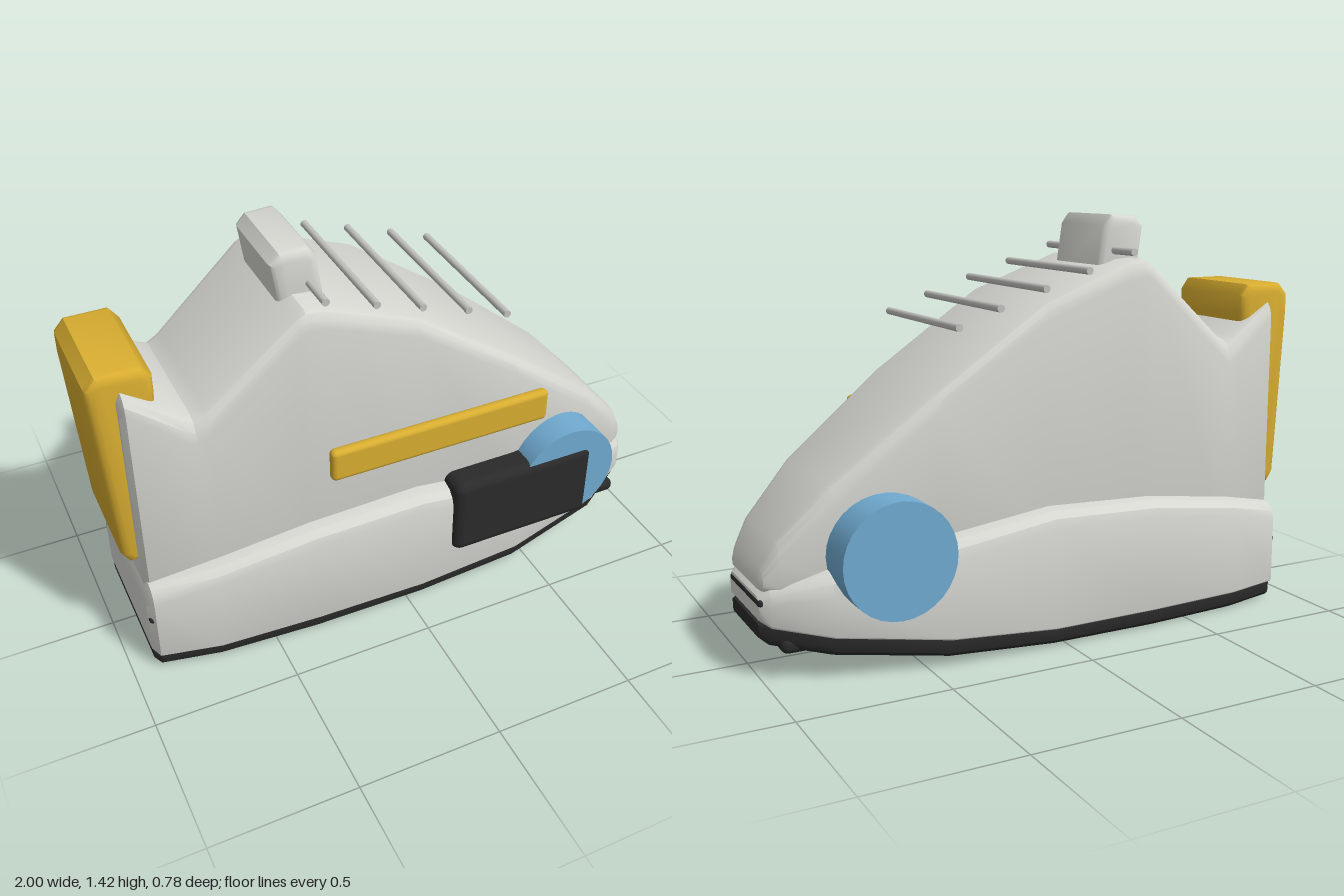
import * as THREE from 'three';
import { toCreasedNormals } from 'three/addons/utils/BufferGeometryUtils.js';
import { RoundedBoxGeometry } from 'three/addons/geometries/RoundedBoxGeometry.js';

const paint = (name, color) => {
  const m = new THREE.MeshStandardMaterial({ color });
  m.name = name;
  return m;
};

// Rounded cross-sections joined along x.
// Station: [x, bottom y, top y, half width, top bevel z, top bevel y, bottom bevel]
function loft(stations) {
  const pos = [], index = [], seg = 3, n = (seg + 1) * 4;
  for (const [x, yb, yt, w, bz, by, bb] of stations) {
    const corners = [
      [-1, 1, bz, by, 0], [1, 1, bz, by, 1], [1, -1, bb, bb, 2], [-1, -1, bb, bb, 3],
    ];
    for (const [sz, sy, rz, ry, q] of corners) {
      for (let i = 0; i <= seg; i++) {
        const a = (q + i / seg) * Math.PI / 2;
        const cz = sz * (w - rz), cy = sy > 0 ? yt - ry : yb + ry;
        pos.push(x, cy + Math.sin(a) * ry, cz - Math.cos(a) * rz);
      }
    }
  }
  const last = (stations.length - 1) * n;
  for (let s = 0; s < last; s += n) {
    for (let i = 0; i < n; i++) {
      const j = (i + 1) % n;
      index.push(s + i, s + j, s + n + j, s + i, s + n + j, s + n + i);
    }
  }
  for (let i = 1; i < n - 1; i++) {
    index.push(0, i + 1, i, last, last + i, last + i + 1);
  }
  const g = new THREE.BufferGeometry();
  g.setAttribute('position', new THREE.Float32BufferAttribute(pos, 3));
  g.setIndex(index);
  return toCreasedNormals(g, 0.5);
}

// Side outline extruded across z with rounded rims
function block(points, zMin, zMax, bevel) {
  const shape = new THREE.Shape(points.map(([x, y]) => new THREE.Vector2(x, y)));
  const g = new THREE.ExtrudeGeometry(shape, {
    depth: zMax - zMin - 2 * bevel, bevelEnabled: true, bevelThickness: bevel,
    bevelSize: bevel, bevelOffset: -bevel, bevelSegments: 3,
  });
  g.translate(0, 0, zMin + bevel);
  return toCreasedNormals(g, 0.7);
}

const rodZ = (r, length) => new THREE.CapsuleGeometry(r, length - 2 * r, 3, 10).rotateX(Math.PI / 2);

export function createModel() {
  const model = new THREE.Group();
  model.name = 'shoe';
  const shell = paint('pale grey', 0xd6d7d1);
  const metal = paint('lace grey', 0xc2c2be);
  const dark = paint('rubber black', 0x2a2a2a);
  const yellow = paint('mustard yellow', 0xd8ad30);
  const blue = paint('sky blue', 0x70aad0);
  const add = (name, geometry, material, x = 0, y = 0, z = 0) => {
    const m = new THREE.Mesh(geometry, material);
    m.name = name;
    m.position.set(x, y, z);
    model.add(m);
    return m;
  };

  // Outsole
  add('outsole', loft([
    [-0.92, 0.03, 0.07, 0.25, 0.01, 0.01, 0.015],
    [-0.9, 0.01, 0.08, 0.275, 0.01, 0.01, 0.03],
    [-0.7, 0.005, 0.08, 0.315, 0.01, 0.01, 0.035],
    [-0.35, 0.005, 0.08, 0.338, 0.01, 0.01, 0.035],
    [0.05, 0.01, 0.08, 0.347, 0.01, 0.01, 0.035],
    [0.43, 0.035, 0.115, 0.345, 0.01, 0.01, 0.035],
    [0.8, 0.085, 0.16, 0.28, 0.01, 0.01, 0.035],
    [0.97, 0.115, 0.19, 0.18, 0.01, 0.01, 0.03],
    [1.0, 0.14, 0.185, 0.15, 0.01, 0.01, 0.015],
  ]), dark);

  // Midsole
  add('midsole', loft([
    [-0.925, 0.08, 0.33, 0.25, 0.04, 0.04, 0.01],
    [-0.905, 0.068, 0.37, 0.285, 0.05, 0.06, 0.01],
    [-0.7, 0.068, 0.415, 0.33, 0.06, 0.06, 0.01],
    [-0.35, 0.068, 0.465, 0.35, 0.06, 0.06, 0.01],
    [0.05, 0.07, 0.48, 0.36, 0.06, 0.06, 0.01],
    [0.43, 0.1, 0.43, 0.36, 0.07, 0.07, 0.01],
    [0.8, 0.15, 0.365, 0.295, 0.08, 0.08, 0.01],
    [0.97, 0.18, 0.305, 0.2, 0.05, 0.05, 0.01],
    [1.0, 0.2, 0.275, 0.165, 0.03, 0.03, 0.01],
  ]), shell);

  // Upper with a collar notch and a tongue peak
  add('upper', loft([
    [-0.915, 0.3, 1.08, 0.21, 0.03, 0.05, 0.02],
    [-0.9, 0.3, 1.11, 0.235, 0.04, 0.06, 0.02],
    [-0.73, 0.32, 0.995, 0.262, 0.05, 0.08, 0.02],
    [-0.7, 0.32, 0.98, 0.266, 0.05, 0.08, 0.02],
    [-0.66, 0.32, 1.0, 0.27, 0.05, 0.07, 0.02],
    [-0.36, 0.34, 1.265, 0.285, 0.04, 0.06, 0.02],
    [-0.33, 0.34, 1.28, 0.286, 0.04, 0.06, 0.02],
    [-0.27, 0.34, 1.275, 0.287, 0.04, 0.06, 0.02],
    [0.05, 0.34, 1.155, 0.29, 0.04, 0.06, 0.02],
    [0.43, 0.33, 0.895, 0.29, 0.05, 0.06, 0.02],
    [0.78, 0.3, 0.62, 0.242, 0.05, 0.07, 0.02],
    [0.94, 0.285, 0.45, 0.195, 0.05, 0.06, 0.02],
    [0.985, 0.29, 0.365, 0.165, 0.03, 0.03, 0.02],
    [0.998, 0.3, 0.33, 0.14, 0.01, 0.01, 0.01],
  ]), shell);

  // Pull tabs at the heel and tongue
  add('heelTab', block([
    [-0.94, 0.43], [-0.88, 0.43], [-0.85, 0.47], [-0.79, 1.06], [-0.79, 1.13],
    [-0.82, 1.17], [-0.965, 1.17], [-1.0, 1.13], [-1.0, 1.06], [-0.965, 0.47],
  ], -0.21, 0.19, 0.03), yellow);
  add('tongueTab', block([
    [-0.365, 1.2], [-0.21, 1.2], [-0.238, 1.39], [-0.265, 1.425],
    [-0.36, 1.42], [-0.392, 1.385],
  ], -0.17, 0.155, 0.03), shell);

  // Laces
  const laces = [[-0.27, 1.305], [-0.1, 1.25], [0.06, 1.198], [0.225, 1.143], [0.37, 1.09]];
  for (const [x, y] of laces) {
    add('lace', new THREE.CylinderGeometry(0.013, 0.013, 0.575, 10).rotateX(Math.PI / 2), metal, x, y, -0.007);
  }

  // Discs on both sides of the toe
  for (const z of [0.292, -0.304]) {
    add('sideDisc', new THREE.CylinderGeometry(0.19, 0.19, 0.17, 32).rotateX(Math.PI / 2), blue, 0.615, 0.393 + 0.005, z);
  }

  // Side box and stripe
  add('sideBox', new RoundedBoxGeometry(0.55, 0.3, 0.17, 3, 0.035), dark, 0.433, 0.35, 0.302);
  add('sideStripe', new RoundedBoxGeometry(0.805, 0.12, 0.04, 3, 0.018), yellow, 0.108, 0.733, 0.344);

  // Toe slit, toe bumper and heel pins
  add('toeSlit', rodZ(0.014, 0.34), dark, 0.99, 0.256, -0.005);
  add('toeBumper', new RoundedBoxGeometry(0.12, 0.05, 0.45, 3, 0.022), dark, 0.885, 0.118, 0.01);
  for (const z of [0.255, -0.255]) add('heelPin', rodZ(0.012, 0.04), dark, -0.912, 0.23, z);

  return model;
}
